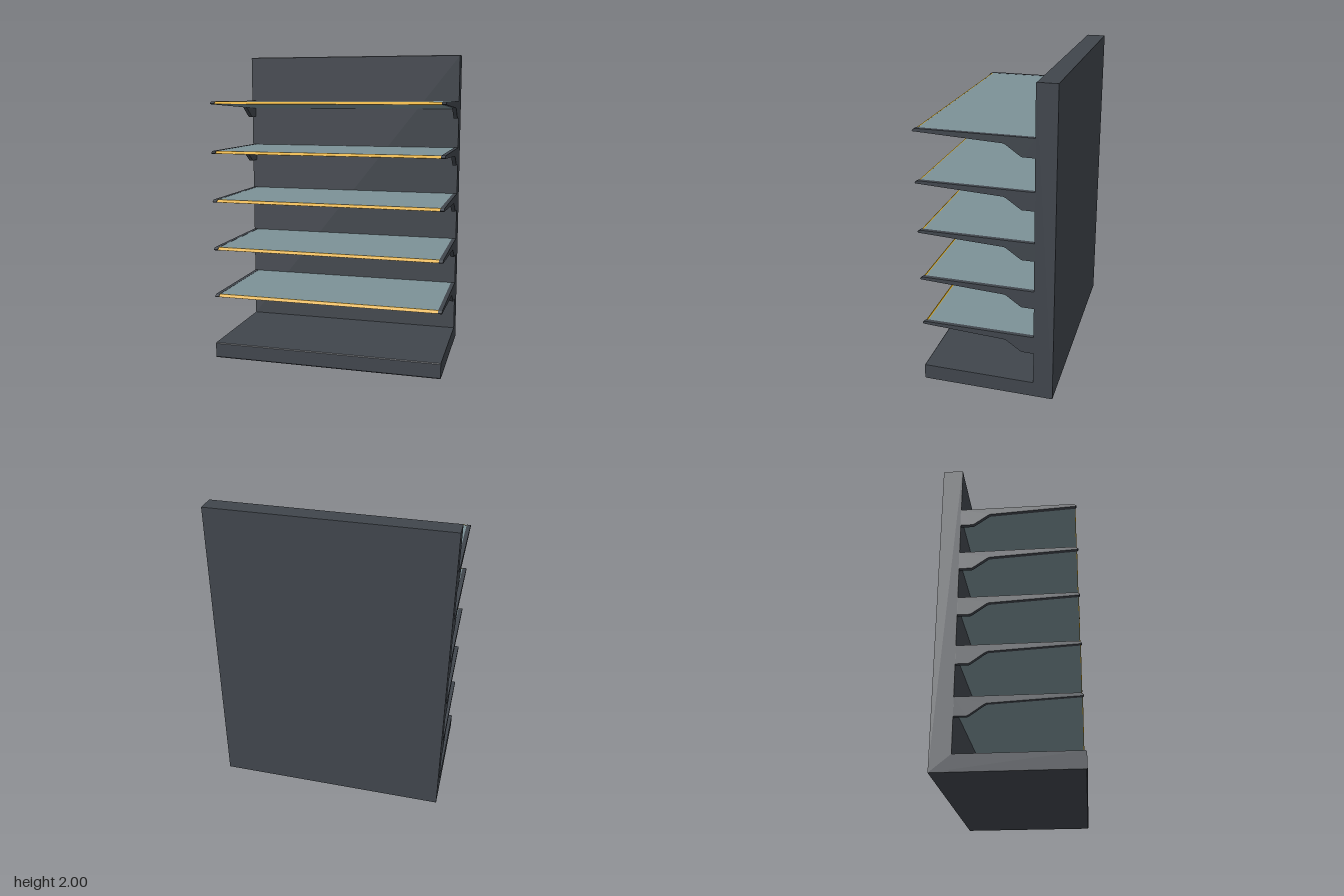
import * as THREE from 'three';

const frameGrey = new THREE.MeshStandardMaterial({ name: 'frame charcoal', color: 0x40454c });
const shelfGrey = new THREE.MeshStandardMaterial({ name: 'shelf blue grey', color: 0x7c9197 });
const trimYellow = new THREE.MeshStandardMaterial({ name: 'trim yellow', color: 0xd9a514 });

const HALF = 0.748; // half width of the whole unit
const BRACKET = 0.026; // bracket thickness

// Extrude a side profile of [z, y] points along x, centred on x = 0
function sideExtrude(name, points, width, material) {
  const shape = new THREE.Shape(points.map(([z, y]) => new THREE.Vector2(z, y)));
  const geometry = new THREE.ExtrudeGeometry(shape, { depth: width, bevelEnabled: false });
  geometry.translate(0, 0, -width / 2).rotateY(-Math.PI / 2);
  const mesh = new THREE.Mesh(geometry, material);
  mesh.name = name;
  return mesh;
}

function makeShelf() {
  const shelf = new THREE.Group();
  const inner = 2 * (HALF - BRACKET);

  // Wedge-shaped board, thin at the front
  shelf.add(sideExtrude('shelfBoard', [
    [-0.3, -0.053], [-0.12, -0.044], [0.41, -0.018], [0.393, -0.001], [-0.3, -0.001],
  ], inner, shelfGrey));

  // Coloured strip on the sloping front edge
  shelf.add(sideExtrude('frontTrim', [
    [0.409, -0.018], [0.414, -0.016], [0.398, 0], [0.391, 0],
  ], inner, trimYellow));

  // Cantilever bracket at each end
  for (const side of [-1, 1]) {
    const bracket = sideExtrude(side > 0 ? 'leftBracket' : 'rightBracket', [
      [-0.3, -0.115], [-0.225, -0.115], [-0.215, -0.11], [-0.13, -0.05], [-0.115, -0.044],
      [0.415, -0.018], [0.421, -0.012], [0.405, -0.001], [0.398, 0], [-0.3, 0],
    ], BRACKET, frameGrey);
    bracket.position.x = side * (HALF - BRACKET / 2);
    shelf.add(bracket);
  }
  return shelf;
}

export function createModel() {
  const model = new THREE.Group();
  model.name = 'shelvingUnit';

  // Back panel and plinth share one L-shaped profile
  model.add(sideExtrude('backPanelAndBase', [
    [-0.424, 0], [0.419, 0], [0.424, 0.006], [0.424, 0.096], [0.419, 0.101],
    [-0.3, 0.101], [-0.3, 1.996], [-0.304, 2], [-0.424, 2],
  ], 2 * HALF, frameGrey));

  // Five evenly spaced shelves
  for (let i = 0; i < 5; i++) {
    const shelf = makeShelf();
    shelf.name = `shelf${i + 1}`;
    shelf.position.y = 0.43 + i * 0.3158;
    model.add(shelf);
  }
  return model;
}
